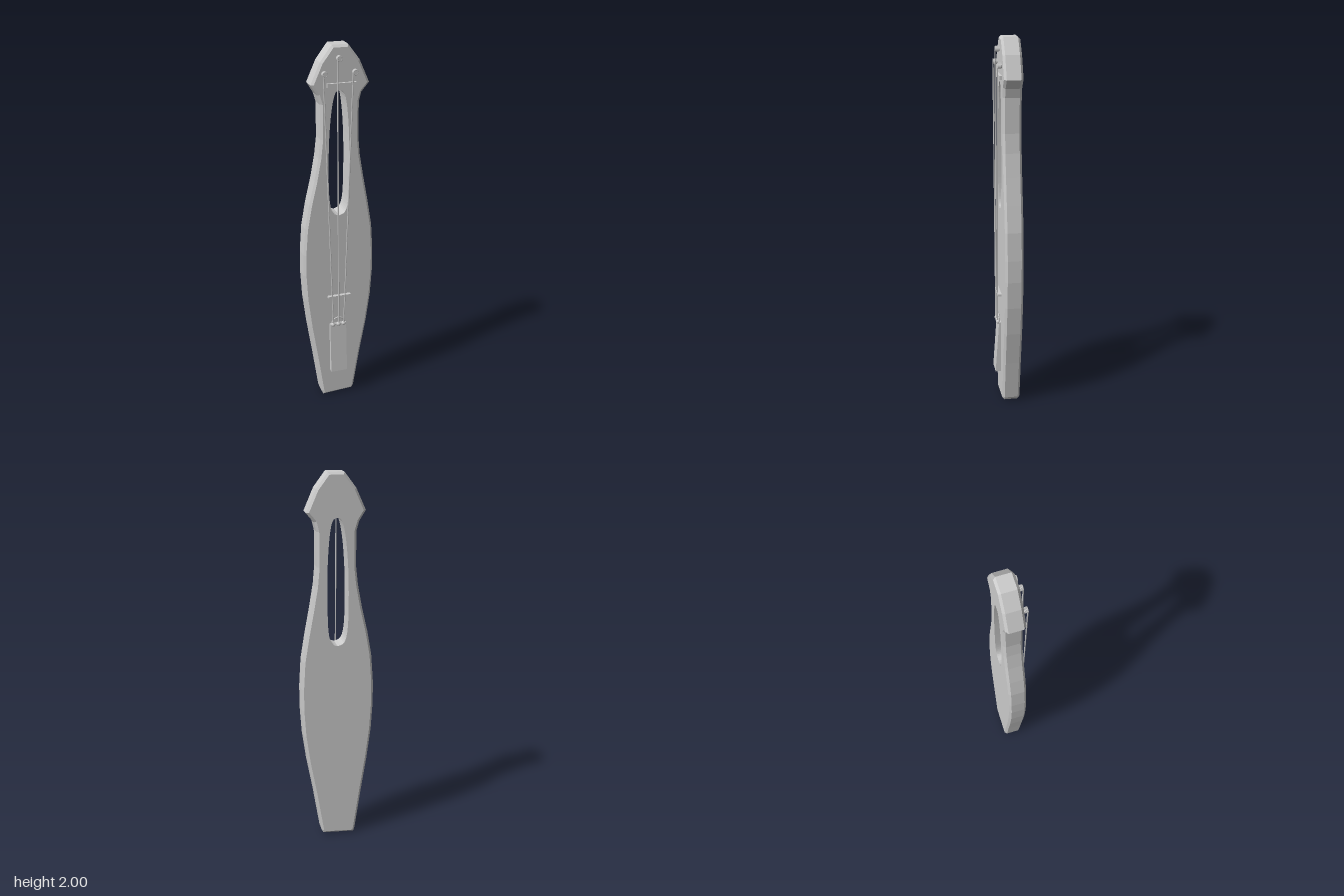
import * as THREE from 'three';

const FRONT = 0.032, BACK = -0.065, CHAMFER = 0.012;
const mat = new THREE.MeshStandardMaterial({ color: 0xcccccc, flatShading: true });
const smooth = new THREE.MeshStandardMaterial({ color: 0xcccccc });

const v2 = (list) => list.map(([x, y]) => new THREE.Vector2(x, y));

// Body outline, counter-clockwise from the bottom left
const outline = v2([
  [-0.092, 0.004], [0.078, 0.013], [0.088, 0.03], [0.125, 0.26], [0.16, 0.45], [0.182, 0.61], [0.192, 0.76],
  [0.192, 0.88], [0.183, 1.03], [0.16, 1.17], [0.134, 1.31], [0.114, 1.43], [0.105, 1.53],
  [0.106, 1.71], [0.118, 1.757], [0.158, 1.805], [0.108, 1.92], [0.048, 2.0],
  [-0.036, 2.0], [-0.096, 1.92], [-0.145, 1.81], [-0.112, 1.757], [-0.098, 1.71],
  [-0.097, 1.53], [-0.108, 1.43], [-0.13, 1.31], [-0.16, 1.18], [-0.183, 1.05], [-0.194, 0.9],
  [-0.195, 0.78], [-0.186, 0.63], [-0.165, 0.46], [-0.132, 0.25], [-0.1, 0.03],
]);

// Long rounded opening in the neck, counter-clockwise
const holePoints = new THREE.SplineCurve(v2([
  [0, 1.11], [0.03, 1.125], [0.047, 1.18], [0.053, 1.3], [0.053, 1.5], [0.044, 1.66], [0.028, 1.757],
  [0, 1.776], [-0.024, 1.757], [-0.043, 1.66], [-0.055, 1.5], [-0.057, 1.3], [-0.05, 1.18], [-0.032, 1.125], [0, 1.11],
])).getPoints(56).slice(0, -1);

// Moves a closed outline inwards by d with mitred corners
function inset(points, d) {
  const n = points.length;
  return points.map((p, i) => {
    const a = p.clone().sub(points[(i + n - 1) % n]).normalize();
    const b = points[(i + 1) % n].clone().sub(p).normalize();
    const normal = new THREE.Vector2(-a.y - b.y, a.x + b.x).normalize();
    return p.clone().addScaledVector(normal, d / Math.max(0.5, normal.dot(new THREE.Vector2(-a.y, a.x))));
  });
}

// Wall strips joining rings of [points, z], ordered from back to front
function wall(rings, inward = false) {
  const pos = [];
  for (let r = 0; r < rings.length - 1; r++) {
    const [lower, z0] = rings[r], [upper, z1] = rings[r + 1];
    lower.forEach((p, i) => {
      const j = (i + 1) % lower.length;
      const a = [p.x, p.y, z0], b = [lower[j].x, lower[j].y, z0];
      const c = [upper[j].x, upper[j].y, z1], d = [upper[i].x, upper[i].y, z1];
      const corners = inward ? [a, c, b, a, d, c] : [a, b, c, a, c, d];
      pos.push(...corners.flat());
    });
  }
  const g = new THREE.BufferGeometry();
  g.setAttribute('position', new THREE.Float32BufferAttribute(pos, 3));
  g.computeVertexNormals();
  return g;
}

export function createModel() {
  const model = new THREE.Group();
  const add = (name, geometry, x = 0, y = 0, z = 0, parent = model, material = mat) => {
    const mesh = new THREE.Mesh(geometry, material);
    mesh.name = name;
    mesh.position.set(x, y, z);
    parent.add(mesh);
    return mesh;
  };

  // Chamfered body with a straight-walled opening
  const body = new THREE.Group();
  body.name = 'body';
  model.add(body);
  const small = inset(outline, CHAMFER);
  const face = new THREE.Shape(small);
  face.holes.push(new THREE.Path(holePoints));
  add('frontFace', new THREE.ShapeGeometry(face), 0, 0, FRONT, body);
  const backFace = new THREE.ShapeGeometry(face);
  const index = backFace.index.array;
  for (let i = 0; i < index.length; i += 3) [index[i], index[i + 1]] = [index[i + 1], index[i]];
  backFace.computeVertexNormals();
  add('backFace', backFace, 0, 0, BACK, body);
  add('sides', wall([[small, BACK], [outline, BACK + CHAMFER], [outline, FRONT - CHAMFER], [small, FRONT]]), 0, 0, 0, body);
  add('openingWall', wall([[holePoints, BACK], [holePoints, FRONT]], true), 0, 0, 0, body);

  // Nut and bridge
  add('nut', new THREE.BoxGeometry(0.15, 0.02, 0.014), 0.009, 1.806, FRONT + 0.006);
  add('bridge', new THREE.BoxGeometry(0.126, 0.012, 0.02), -0.003, 0.637, FRONT + 0.009);

  // Wedge tailpiece, rising towards the bottom
  const wedge = new THREE.Shape(v2([[-FRONT + 0.004, 0.17], [-FRONT + 0.004, 0.468], [-0.043, 0.468], [-0.063, 0.17]]));
  const tailGeometry = new THREE.ExtrudeGeometry(wedge, { depth: 0.092, bevelEnabled: false });
  tailGeometry.rotateY(Math.PI / 2).scale(1, 1, 1);
  add('tailpiece', tailGeometry, -0.055, 0, 0);
  add('tailLoop', new THREE.TorusGeometry(0.036, 0.004, 6, 20, Math.PI), -0.009, 0.468, 0.041, model, smooth);

  // Pegs with wound coils, and the strings down to the tailpiece
  const strings = [
    { peg: [-0.08, 1.865], top: -0.088, end: -0.039 },
    { peg: [-0.005, 1.937], top: -0.016, end: -0.008 },
    { peg: [0.078, 1.865], top: 0.065, end: 0.021 },
  ];
  for (const { peg: [x, y], top, end } of strings) {
    const peg = new THREE.Group();
    peg.name = 'peg';
    peg.position.set(x, y, 0);
    model.add(peg);
    add('pin', new THREE.CylinderGeometry(0.011, 0.011, 0.026, 12).rotateX(Math.PI / 2), 0, 0, FRONT + 0.009, peg);
    for (let i = 0; i < 4; i++) {
      add('coil', new THREE.TorusGeometry(0.012, 0.003, 6, 16), 0, 0, FRONT + 0.005 + i * 0.005, peg, smooth);
    }
    const path = new THREE.LineCurve3(new THREE.Vector3(top, y, 0.052), new THREE.Vector3(end, 0.466, 0.05));
    add('string', new THREE.TubeGeometry(path, 1, 0.0035, 6), 0, 0, 0, model, smooth);
    add('stringKnot', new THREE.SphereGeometry(0.012, 12, 8), end, 0.466, 0.046, model, smooth);
  }
  return model;
}
